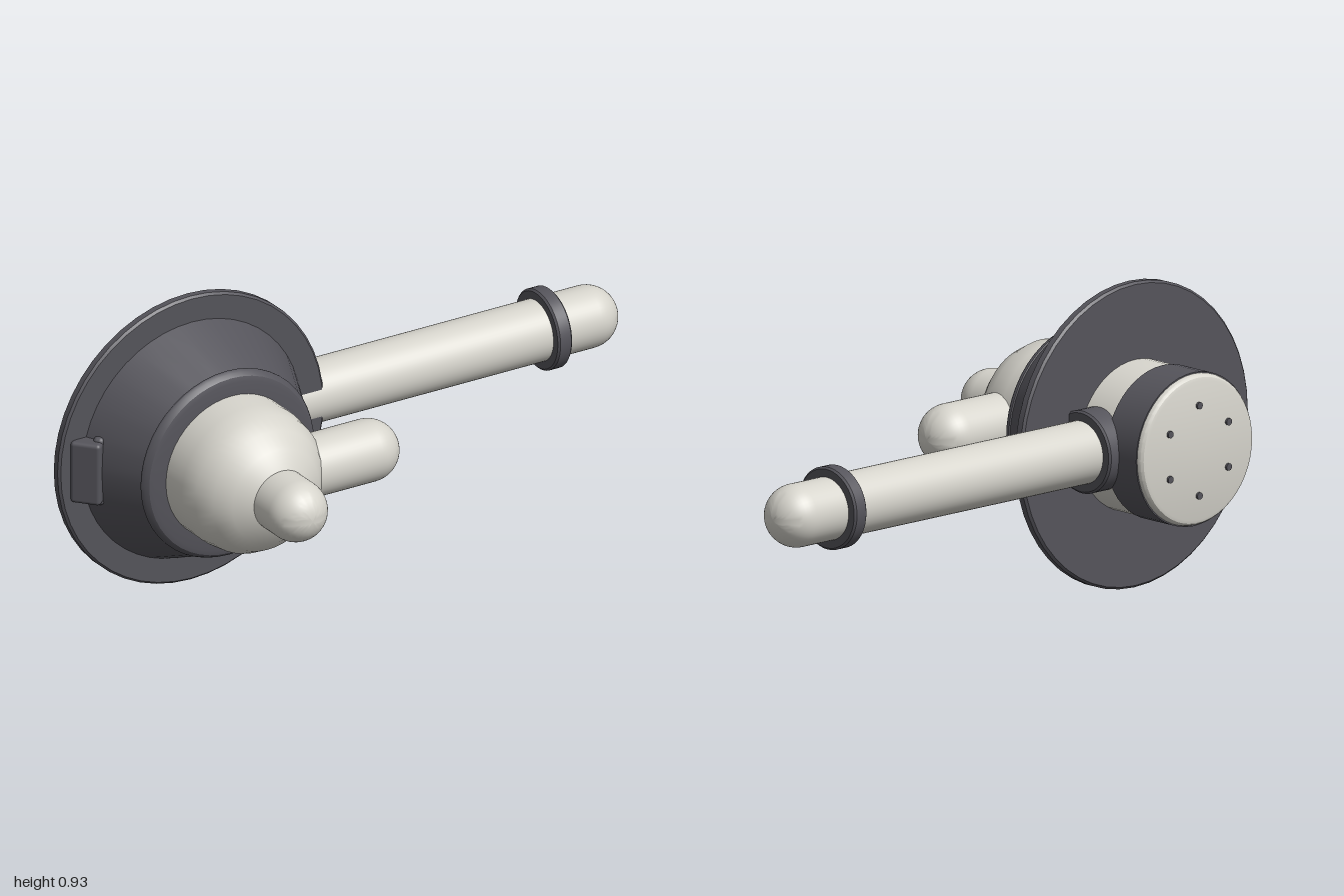
import * as THREE from 'three';
import { toCreasedNormals } from 'three/addons/utils/BufferGeometryUtils.js';
import { RoundedBoxGeometry } from 'three/addons/geometries/RoundedBoxGeometry.js';

const CX = -0.533, CY = 0.467;

export function createModel() {
  const shell = new THREE.MeshStandardMaterial({ color: 0xd6d4cc });
  shell.name = 'pale shell';
  const trim = new THREE.MeshStandardMaterial({ color: 0x55545b });
  trim.name = 'dark trim';

  const group = new THREE.Group();
  group.name = 'nozzleUnit';

  const add = (name, geometry, material, x, y, z, parent = group) => {
    const mesh = new THREE.Mesh(geometry, material);
    mesh.name = name;
    mesh.position.set(x, y, z);
    parent.add(mesh);
    return mesh;
  };

  // Turned solid from [radius, distance] pairs, axis along z or x
  const turned = (profile, axis, segments = 48) => {
    const g = new THREE.LatheGeometry(profile.map(([r, d]) => new THREE.Vector2(r, d)), segments);
    if (axis === 'z') g.rotateX(Math.PI / 2);
    else g.rotateZ(-Math.PI / 2);
    return toCreasedNormals(g, 0.42);
  };

  // Straight tube profile ending in a hemisphere at distance "end"
  const roundEnded = (r, start, end) => {
    const profile = [[0, start], [r, start]];
    for (let i = 0; i <= 12; i++) {
      const a = (i / 12) * Math.PI / 2;
      profile.push([i === 12 ? 0 : r * Math.cos(a), end - r + r * Math.sin(a)]);
    }
    return profile;
  };

  // Main body with domed front and softly rounded back cap
  add('body', turned([
    [0, -0.488], [0.212, -0.488], [0.222, -0.485], [0.228, -0.478], [0.231, -0.468],
    [0.231, 0.13], [0.222, 0.192], [0.193, 0.246], [0.152, 0.29], [0.097, 0.32], [0, 0.32],
  ], 'z'), shell, CX, CY, 0);

  // Dark band near the back
  add('rearBand', turned([
    [0.2, -0.466], [0.235, -0.466], [0.235, -0.335], [0.2, -0.335],
  ], 'z'), trim, CX, CY, 0);

  // Conical skirt with wide flange and rolled front lip
  add('skirt', turned([
    [0.2, -0.215], [0.46, -0.215], [0.467, -0.208], [0.467, -0.187], [0.46, -0.18],
    [0.384, -0.18], [0.298, 0.012], [0.302, 0.014], [0.302, 0.02], [0.297, 0.03],
    [0.287, 0.039], [0.272, 0.043], [0.2, 0.043],
  ], 'z'), trim, CX, CY, 0);

  // Front and side nozzles, long arm
  add('frontNozzle', turned(roundEnded(0.096, 0.2, 0.496), 'z'), shell, CX, CY, 0);
  add('sideNozzle', turned(roundEnded(0.096, -0.45, -0.038), 'x'), shell, 0, CY, 0.165);
  add('longArm', turned(roundEnded(0.096, -0.45, 1), 'x'), shell, 0, CY, -0.265);

  // Collars on the long arm
  for (const [name, x0, x1] of [['baseCollar', -0.4, -0.262], ['endCollar', 0.73, 0.78]]) {
    add(name, turned([
      [0.09, x0], [0.12, x0], [0.126, x0 + 0.006], [0.126, x1 - 0.006], [0.12, x1], [0.09, x1],
    ], 'x'), trim, 0, CY, -0.265);
  }

  // Ring of bolts on the back cap
  const bolt = new THREE.CylinderGeometry(0.011, 0.011, 0.012, 12).rotateX(Math.PI / 2);
  for (let i = 0; i < 6; i++) {
    const a = Math.PI / 6 + (i * Math.PI) / 3;
    add('rearBolt', bolt, trim, CX + 0.138 * Math.cos(a), CY + 0.138 * Math.sin(a), -0.489);
  }

  // Tilted latch set through the flange
  const latch = new THREE.Group();
  latch.name = 'latch';
  latch.position.set(-0.862, CY, -0.2);
  latch.rotation.y = 0.7;
  group.add(latch);
  add('latchBlock', new RoundedBoxGeometry(0.19, 0.2, 0.095, 3, 0.012), trim, 0, 0, 0, latch);
  add('latchRidge', new RoundedBoxGeometry(0.17, 0.222, 0.035, 3, 0.014), trim, 0.015, 0, 0.032, latch);
  const pin = new THREE.CylinderGeometry(0.007, 0.007, 0.008, 10).rotateZ(Math.PI / 2);
  for (const y of [-0.048, 0.048]) add('latchPin', pin, trim, 0.096, y, -0.022, latch);

  return group;
}
